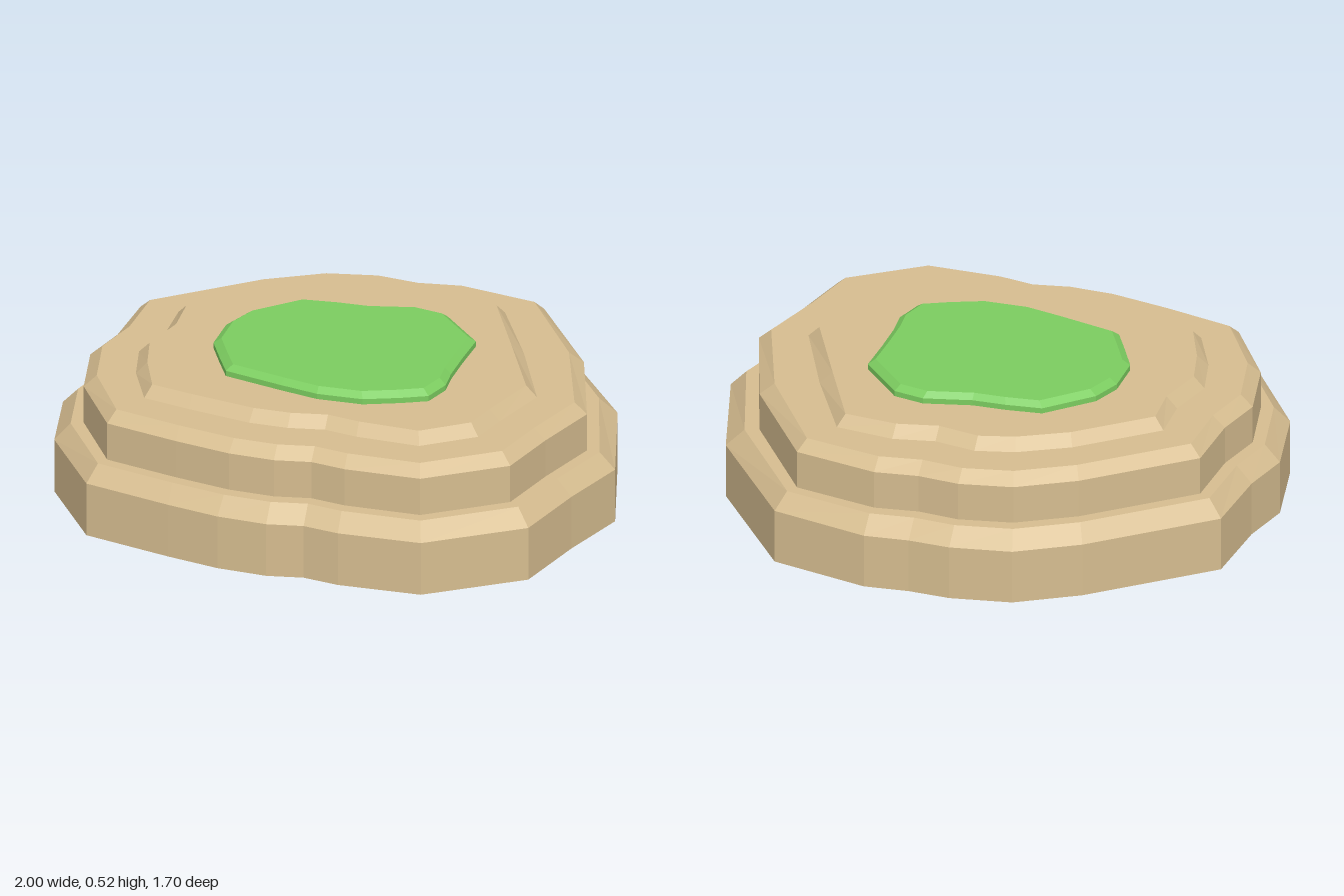
import * as THREE from 'three';

// Outlines as [x, z], running the same way round
const BASE = [[-.07, -.85], [.08, -.84], [.24, -.85], [.59, -.76], [.89, -.34], [1, .1], [.91, .35],
  [.83, .63], [.5, .845], [.2, .845], [.07, .82], [-.06, .84], [-.24, .825], [-.43, .78], [-.75, .69],
  [-.95, .38], [-1, .08], [-.95, -.1], [-.92, -.38], [-.51, -.7], [-.29, -.82]];
const SUMMIT = [[-.08, -.57], [.07, -.54], [.22, -.565], [.43, -.535], [.58, -.235], [.715, .09], [.64, .31],
  [.6, .45], [.42, .575], [.19, .56], [.07, .535], [-.06, .555], [-.2, .55], [-.43, .5], [-.605, .455],
  [-.685, .27], [-.72, .1], [-.67, -.07], [-.67, -.24], [-.4, -.45], [-.22, -.54]];
const GRASS = [[.17, -.355], [.28, -.33], [.425, -.165], [.415, -.02], [.41, .11], [.415, .2], [.38, .3],
  [.29, .34], [.165, .385], [0, .385], [-.14, .35], [-.355, .29], [-.405, .19], [-.455, .085],
  [-.45, -.065], [-.405, -.17], [-.25, -.31], [-.12, -.32], [0, -.32]];

// Outline between the base (t = 0) and the summit (t = 1)
const contour = (t) => BASE.map(([x, z], i) => [x + (SUMMIT[i][0] - x) * t, z + (SUMMIT[i][1] - z) * t]);
const scaled = (pts, s) => pts.map(([x, z]) => [x * s, z * s]);

// Closed solid through stacked outlines: rings = [[outline, y], ...]
function loft(rings) {
  const pos = [];
  const tri = (...corners) => corners.forEach((c) => pos.push(...c));
  const at = ([pts, y], i) => {
    const [x, z] = pts[i % pts.length];
    return [x, y, z];
  };
  for (let r = 0; r < rings.length - 1; r++) {
    const lo = rings[r], hi = rings[r + 1];
    for (let i = 0; i < lo[0].length; i++) {
      tri(at(lo, i), at(hi, i), at(lo, i + 1));
      tri(at(hi, i), at(hi, i + 1), at(lo, i + 1));
    }
  }
  // Flat caps, turned to face down and up
  for (const [ring, up] of [[rings[0], false], [rings[rings.length - 1], true]]) {
    const flat = ring[0].map(([x, z]) => new THREE.Vector2(x, z));
    for (const [i, j, k] of THREE.ShapeUtils.triangulateShape(flat, [])) {
      const a = at(ring, i), b = at(ring, j), c = at(ring, k);
      const ny = (b[2] - a[2]) * (c[0] - a[0]) - (b[0] - a[0]) * (c[2] - a[2]);
      if ((ny > 0) === up) tri(a, b, c);
      else tri(a, c, b);
    }
  }
  const g = new THREE.BufferGeometry();
  g.setAttribute('position', new THREE.Float32BufferAttribute(pos, 3));
  g.computeVertexNormals();
  return g;
}

export function createModel() {
  const sand = new THREE.MeshStandardMaterial({ color: 0xd6bd90 });
  sand.name = 'sandstone';
  const green = new THREE.MeshStandardMaterial({ color: 0x7ccd60 });
  green.name = 'grass green';

  const model = new THREE.Group();
  model.name = 'steppedHill';
  const add = (name, material, rings) => {
    const mesh = new THREE.Mesh(loft(rings), material);
    mesh.name = name;
    model.add(mesh);
  };

  // Three rock tiers with bevelled rims
  add('lowerTier', sand, [[contour(0), 0], [contour(0), .2], [contour(.2), .26]]);
  add('middleTier', sand, [[contour(.36), .26], [contour(.36), .4], [contour(.52), .44]]);
  add('upperTier', sand, [[contour(1), .44], [contour(1.14), .48]]);
  // Grass patch on the summit
  add('grassPatch', green, [[GRASS, .48], [GRASS, .5], [scaled(GRASS, .94), .52]]);
  return model;
}
